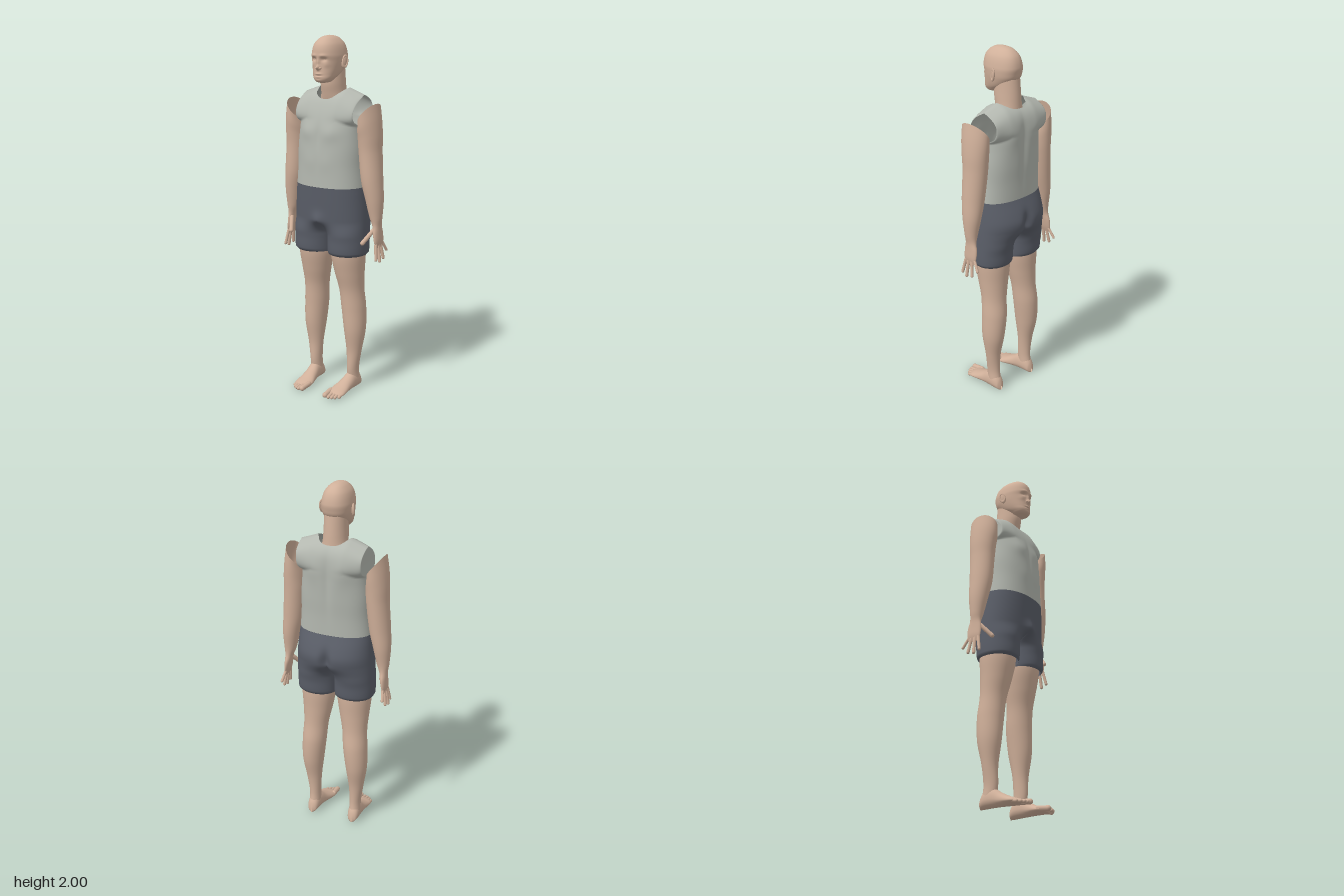
import * as THREE from 'three';
import { mergeVertices } from 'three/addons/utils/BufferGeometryUtils.js';

const mat = (name, color) => {
  const m = new THREE.MeshStandardMaterial({ color, side: THREE.DoubleSide });
  m.name = name;
  return m;
};

// Smooth table lookup: rows are [key, a, b, ...] with rising keys
const profile = rows => t => {
  const n = rows.length;
  if (t <= rows[0][0]) return rows[0].slice(1);
  if (t >= rows[n - 1][0]) return rows[n - 1].slice(1);
  let i = 0;
  while (t > rows[i + 1][0]) i++;
  const p = rows[i], q = rows[i + 1], h = q[0] - p[0], f = (t - p[0]) / h;
  const slope = (k, c) => {
    const a = rows[Math.max(k - 1, 0)], b = rows[Math.min(k + 1, n - 1)];
    return (b[c] - a[c]) / (b[0] - a[0]);
  };
  return p.slice(1).map((_, j) => {
    const c = j + 1, f2 = f * f, f3 = f2 * f;
    return (2 * f3 - 3 * f2 + 1) * p[c] + (f3 - 2 * f2 + f) * h * slope(i, c)
      + (3 * f2 - 2 * f3) * q[c] + (f3 - f2) * h * slope(i + 1, c);
  });
};

// Grid surface with shared vertices and smooth normals
function surface(nu, nv, fn) {
  const pos = [], idx = [], w = nu + 1;
  for (let j = 0; j <= nv; j++) for (let i = 0; i <= nu; i++) pos.push(...fn(i / nu, j / nv));
  for (let j = 0; j < nv; j++) for (let i = 0; i < nu; i++) {
    const a = j * w + i, b = a + 1, d = a + w;
    idx.push(a, d, b, b, d, d + 1);
  }
  let g = new THREE.BufferGeometry();
  g.setAttribute('position', new THREE.Float32BufferAttribute(pos, 3));
  g.setIndex(idx);
  g = mergeVertices(g, 1e-4);
  g.computeVertexNormals();
  return g;
}

// Upright limb from rows [y, cx, cz, rx, rz, tilt]
function limb(rows, nu = 32, nv = 48) {
  const at = profile(rows), y0 = rows[0][0], y1 = rows[rows.length - 1][0];
  return surface(nu, nv, (u, v) => {
    const y = y0 + (y1 - y0) * v, [cx, cz, rx, rz, tilt = 0] = at(y);
    const c = Math.cos(u * 2 * Math.PI), s = Math.sin(u * 2 * Math.PI);
    return [cx + rx * c, y + tilt * c, cz + rz * s];
  });
}

// Rounded digit between two points
function digit(a, b, r) {
  const p = new THREE.Vector3(...a), q = new THREE.Vector3(...b), d = q.clone().sub(p);
  const g = new THREE.CapsuleGeometry(r, d.length(), 6, 12);
  g.applyQuaternion(new THREE.Quaternion().setFromUnitVectors(new THREE.Vector3(0, 1, 0), d.normalize()));
  return g.translate(...p.add(q).multiplyScalar(0.5).toArray());
}

const ball = (x, y, z, rx, ry, rz) => new THREE.SphereGeometry(1, 20, 14).scale(rx, ry, rz).translate(x, y, z);

function mirrored(geo) {
  const g = geo.clone().scale(-1, 1, 1), ix = g.index.array;
  for (let i = 0; i < ix.length; i += 3) [ix[i], ix[i + 1]] = [ix[i + 1], ix[i]];
  return g;
}

// Sum of soft symmetric bumps [x, y, sizeX, sizeY, height]
const bumps = (list, x, y) => list.reduce((sum, [bx, by, sx, sy, h]) =>
  sum + h * Math.exp(-(((Math.abs(x) - bx) / sx) ** 2) - ((y - by) / sy) ** 2), 0);

// Walk round a garment: front from +x to -x, then back again
function around(u) {
  const front = u <= 0.5, h = front ? u * 2 : u * 2 - 1;
  const c = (1 + Math.cos(2 * Math.PI * h)) / 2, s = h < 0.5 ? c : -c;
  return { front, s: front ? s : -s };
}
const bodyCurve = s => Math.max(0, 1 - Math.abs(s) ** 2.4) ** 0.45;

function shirtGeometry() {
  const width = profile([[1.195, 0.205], [1.3, 0.197], [1.4, 0.195], [1.5, 0.187], [1.6, 0.185], [1.7, 0.19]]);
  const frontZ = profile([[1.195, 0.131], [1.3, 0.129], [1.4, 0.127], [1.5, 0.119], [1.56, 0.105], [1.62, 0.083], [1.67, 0.055], [1.7, 0.022], [1.725, -0.045]]);
  const backZ = profile([[1.195, -0.14], [1.3, -0.143], [1.4, -0.15], [1.5, -0.154], [1.6, -0.153], [1.66, -0.138], [1.7, -0.102], [1.725, -0.045]]);
  // Armhole edges
  const frontEdge = profile([[1.56, -0.02], [1.575, 0.03], [1.6, 0.06], [1.64, 0.06], [1.68, 0.03], [1.71, -0.015], [1.725, -0.045]]);
  const backEdge = profile([[1.56, -0.02], [1.575, -0.075], [1.6, -0.115], [1.64, -0.13], [1.68, -0.12], [1.71, -0.08], [1.725, -0.045]]);
  const chest = [[0.08, 1.49, 0.05, 0.04, 0.007], [0, 1.47, 0.02, 0.08, -0.004], [0.05, 1.33, 0.05, 0.05, 0.003]];
  const blades = [[0.09, 1.56, 0.05, 0.07, 0.009], [0, 1.5, 0.025, 0.16, -0.008]];
  return surface(96, 64, (u, v) => {
    const { front, s } = around(u), a = Math.abs(s);
    const drop = 0.035 * Math.max(0, (a - 0.48) / 0.52), neck = front ? 1.665 : 1.69;
    const top = a < 0.48 ? neck + (1.725 - neck) * (a / 0.48) ** 2.5 : 1.725 - drop;
    const y = 1.195 + (top - 1.195) * v, yy = y + drop, x = s * width(y)[0];
    const mid = (front ? frontZ : backZ)(yy)[0], edge = (front ? frontEdge : backEdge)(yy)[0];
    const f = bodyCurve(s), fade = f * Math.min(1, (1.725 - yy) / 0.06);
    const relief = front ? bumps(chest, x, y) : -bumps(blades, x, y);
    return [x, y, edge + (mid - edge) * f + relief * fade];
  });
}

function shortsGeometry() {
  const width = profile([[0.812, 0.212], [0.826, 0.222], [0.95, 0.222], [1.05, 0.218], [1.15, 0.21], [1.195, 0.205]]);
  const frontZ = profile([[0.812, 0.09], [0.826, 0.102], [0.9, 0.106], [1, 0.117], [1.1, 0.125], [1.195, 0.131]]);
  const backZ = profile([[0.812, -0.113], [0.826, -0.124], [0.9, -0.133], [0.96, -0.15], [1.02, -0.178], [1.07, -0.186], [1.12, -0.173], [1.195, -0.14]]);
  return surface(96, 60, (u, v) => {
    const { front, s } = around(u), a = Math.abs(s), y = 0.812 + 0.383 * v, x = s * width(y)[0];
    const split = 1 - THREE.MathUtils.smoothstep(y, 0.92, front ? 1.01 : 1.03);
    const legs = Math.max(0, 1 - (2 * a - 1) ** 2) ** 0.45;
    const f = THREE.MathUtils.lerp(bodyCurve(s), legs, split);
    const mid = (front ? frontZ : backZ)(y)[0], seam = (front ? 0.003 : -0.003) * (1 - a);
    const relief = front ? bumps([[0, 1.01, 0.04, 0.04, 0.016]], x, y) : bumps([[0, 1.05, 0.028, 0.06, 0.03]], x, y);
    return [x, y, -0.02 + seam + (mid + 0.02) * f + relief * (1 - split)];
  });
}

function headGeometry() {
  // Rows: y, half width, face z, back z
  const at = profile([[1.75, 0, 0.075, 0.075], [1.757, 0.034, 0.1, 0.03], [1.775, 0.053, 0.114, 0], [1.8, 0.066, 0.114, -0.05], [1.84, 0.077, 0.112, -0.09], [1.87, 0.081, 0.113, -0.101], [1.9, 0.081, 0.119, -0.105], [1.95, 0.068, 0.11, -0.091], [1.98, 0.046, 0.083, -0.064], [1.995, 0.023, 0.05, -0.03], [2, 0, 0.01, 0.01]]);
  const face = [
    [0, 1.835, 0.01, 0.012, 0.021], [0, 1.862, 0.008, 0.02, 0.011], // nose
    [0.03, 1.897, 0.02, 0.008, 0.005], [0.031, 1.878, 0.015, 0.01, -0.011], // brows and sockets
    [0, 1.801, 0.018, 0.005, 0.006], [0, 1.793, 0.02, 0.003, -0.005], [0, 1.785, 0.015, 0.005, 0.005], // lips
    [0, 1.766, 0.02, 0.01, 0.005], [0.045, 1.85, 0.015, 0.015, 0.004], // chin and cheeks
  ];
  return surface(120, 90, (u, v) => {
    const y = 1.875 - 0.125 * Math.cos(Math.PI * v), [w, zf, zb] = at(y);
    const c = Math.cos(u * 2 * Math.PI), s = Math.sin(u * 2 * Math.PI), m = (zf + zb) / 2;
    const x = w * Math.sign(c) * Math.abs(c) ** 0.88;
    const z = m + (zf - m) * Math.sign(s) * Math.abs(s) ** 0.88;
    return [x, y, z + (s > 0 ? s * bumps(face, x, y) : 0)];
  });
}

function footGeometry() {
  // Rows: z, centre x, half width, top height
  const at = profile([[-0.105, 0.128, 0.004, 0.03], [-0.098, 0.128, 0.022, 0.06], [-0.07, 0.128, 0.033, 0.1], [-0.02, 0.126, 0.036, 0.105], [0.03, 0.121, 0.041, 0.075], [0.08, 0.116, 0.05, 0.05], [0.12, 0.114, 0.051, 0.035], [0.142, 0.11, 0.035, 0.024]]);
  return surface(32, 36, (u, v) => {
    const z = -0.105 + 0.247 * v, [cx, w, top] = at(z);
    const c = Math.cos(u * 2 * Math.PI), s = -Math.sin(u * 2 * Math.PI);
    return [cx + w * c, 0.004 + (top - 0.004) * (0.4 + (s > 0 ? 0.6 : 0.4) * s), z];
  });
}

export function createModel() {
  const skin = mat('skin', 0xd0b09a), shirt = mat('light grey cloth', 0xb4b8b0), shorts = mat('dark grey cloth', 0x5a5e68);
  const model = new THREE.Group();
  const add = (name, geo, m = skin) => {
    const mesh = new THREE.Mesh(geo, m);
    mesh.name = name;
    model.add(mesh);
  };
  const pair = (name, geo) => {
    add('left' + name, geo);
    add('right' + name, mirrored(geo));
  };

  add('shirt', shirtGeometry(), shirt);
  add('shorts', shortsGeometry(), shorts);

  // Head and neck
  add('head', headGeometry());
  add('neck', limb([[1.655, 0, -0.04, 0.08, 0.07], [1.69, 0, -0.034, 0.068, 0.073], [1.75, 0, -0.026, 0.064, 0.077], [1.84, 0, -0.025, 0.06, 0.07]], 40, 20));
  pair('Eye', ball(0.031, 1.878, 0.088, 0.013, 0.008, 0.012));
  pair('Nostril', ball(0.011, 1.832, 0.112, 0.008, 0.007, 0.01));
  pair('Ear', ball(0, 0, 0, 0.008, 0.034, 0.017).rotateX(-0.15).rotateY(-0.4).translate(0.085, 1.862, -0.004));
  pair('EarRim', new THREE.TorusGeometry(0.015, 0.004, 8, 24).scale(1, 1.9, 1).rotateY(Math.PI / 2 - 0.4).rotateX(-0.15).translate(0.09, 1.864, -0.006));

  // Arms, open at the shoulder
  pair('Arm', limb([
    [0.868, 0.297, -0.035, 0.004, 0.033, 0], [0.9, 0.294, -0.036, 0.013, 0.043, 0], [0.95, 0.288, -0.036, 0.018, 0.043, 0],
    [0.99, 0.284, -0.033, 0.022, 0.034, 0], [1.03, 0.279, -0.03, 0.033, 0.037, 0], [1.13, 0.27, -0.028, 0.048, 0.054, 0],
    [1.236, 0.255, -0.025, 0.058, 0.065, 0], [1.395, 0.241, -0.028, 0.061, 0.073, 0], [1.47, 0.239, -0.027, 0.061, 0.08, 0.012],
    [1.53, 0.236, -0.025, 0.056, 0.087, 0.034], [1.595, 0.232, -0.025, 0.045, 0.09, 0.055]], 36, 64));

  // Fingers and thumb
  [[[0.296, 0.885, -0.003], [0.307, 0.808, 0.012], 0.0085], [[0.297, 0.885, -0.026], [0.31, 0.795, -0.022], 0.009],
    [[0.297, 0.885, -0.049], [0.308, 0.805, -0.062], 0.0085], [[0.294, 0.895, -0.069], [0.304, 0.842, -0.1], 0.0075],
    [[0.276, 0.965, -0.008], [0.241, 0.9, 0.046], 0.012]]
    .forEach(([a, b, r], i) => pair(i < 4 ? 'Finger' + (i + 1) : 'Thumb', digit(a, b, r)));

  // Legs and feet
  pair('Leg', limb([
    [0.05, 0.128, -0.05, 0.033, 0.042], [0.12, 0.128, -0.041, 0.032, 0.041], [0.23, 0.133, -0.044, 0.043, 0.044],
    [0.36, 0.135, -0.048, 0.061, 0.066], [0.49, 0.127, -0.048, 0.069, 0.073], [0.6, 0.119, -0.038, 0.071, 0.072],
    [0.7, 0.112, -0.026, 0.084, 0.084], [0.8, 0.108, -0.018, 0.097, 0.097], [0.88, 0.108, -0.016, 0.098, 0.098]], 36, 56));
  pair('Foot', footGeometry());
  [[0.08, 0.17, 0.015], [0.104, 0.173, 0.0095], [0.122, 0.167, 0.009], [0.138, 0.156, 0.009], [0.154, 0.139, 0.009]]
    .forEach(([x, z, r], i) => pair('Toe' + (i + 1), digit([x - 0.003, 0.024, z - 0.06], [x, r + 0.002, z], r)));

  return model;
}
